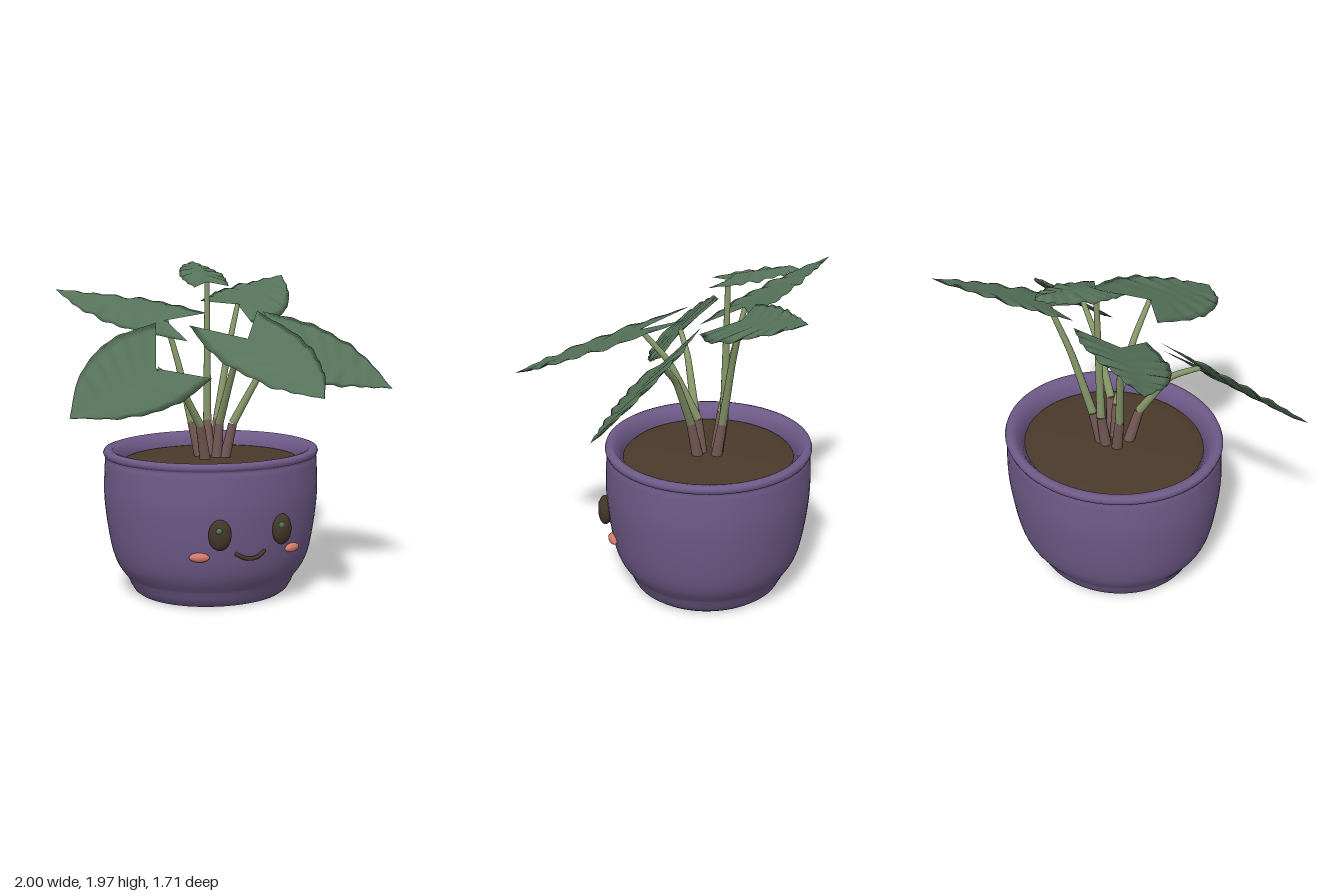
import * as THREE from 'three';

const paint = (name, color, side = THREE.FrontSide) => {
  const m = new THREE.MeshStandardMaterial({ color, side });
  m.name = name;
  return m;
};

// Tube through points whose rings shrink from r0 to r1
function taperedTube(points, r0, r1) {
  const n = 16, sides = 12;
  const curve = new THREE.CatmullRomCurve3(points, false, 'catmullrom', 0.25);
  const geo = new THREE.TubeGeometry(curve, n, r0, sides);
  const p = geo.attributes.position, v = new THREE.Vector3();
  for (let i = 0; i < p.count; i++) {
    const t = Math.floor(i / (sides + 1)) / n, c = curve.getPointAt(t);
    v.fromBufferAttribute(p, i).sub(c).multiplyScalar(1 + (r1 / r0 - 1) * t).add(c);
    p.setXYZ(i, v.x, v.y, v.z);
  }
  return geo;
}

// Point [x, z] placed on the leaf plane y = a + b x + c z
const onPlane = ([a, b, c], [x, z]) => new THREE.Vector3(x, a + b * x + c * z, z);

// Arrow-shaped leaf: closed lens-like cross-sections from the two lobes to the tip
function leafGeometry({ plane, notch, tip, edges, fold }, seed) {
  const rows = 48, half = 6, ring = half * 4;
  const normal = new THREE.Vector3(-plane[1], 1, -plane[2]).normalize();
  const start = onPlane(plane, notch), end = onPlane(plane, tip);
  const curves = edges.map((e) => new THREE.CatmullRomCurve3([...e, tip].map((q) => onPlane(plane, q))));
  const verts = [], index = [];
  for (let i = 0; i <= rows; i++) {
    const t = i / rows;
    const mid = start.clone().lerp(end, t);
    const rims = curves.map((curve, k) => {
      const ripple = Math.sin(t * 46 + seed * 2 + k) + 0.6 * Math.sin(t * 27 + seed + k * 2);
      return curve.getPoint(t).addScaledVector(normal, 0.007 * ripple * Math.sin(Math.PI * t));
    });
    const ends = Math.min(1, t * 8, (1 - t) * 8);
    for (let j = 0; j < ring; j++) {
      const top = j < half * 2;
      const u = top ? j / half - 1 : 3 - j / half;
      const w = Math.abs(u);
      const p = mid.clone().lerp(rims[u < 0 ? 0 : 1], w);
      const thick = 0.008 * Math.sqrt(1 - w * w) * (top ? 1 : -1);
      p.addScaledVector(normal, (thick + fold * (1 - w)) * ends);
      verts.push(p.x, p.y, p.z);
    }
  }
  for (let i = 0; i < rows; i++) for (let j = 0; j < ring; j++) {
    const p = i * ring + j, q = i * ring + (j + 1) % ring;
    index.push(p, p + ring, q, q, p + ring, q + ring);
  }
  const geo = new THREE.BufferGeometry();
  geo.setAttribute('position', new THREE.Float32BufferAttribute(verts, 3));
  geo.setIndex(index);
  geo.computeVertexNormals();
  return geo;
}

export function createModel() {
  const mat = {
    pot: paint('purple glaze', 0x6f5a88),
    soil: paint('soil brown', 0x4a3a2a, THREE.DoubleSide),
    leaf: paint('leaf green', 0x56735a, THREE.DoubleSide),
    stem: paint('stem green', 0x87986a),
    stemBase: paint('stem base brown', 0x785c58),
    face: paint('dark brown', 0x43372a),
    cheek: paint('cheek pink', 0xd27a6a),
    glint: paint('eye glint green', 0x4a7a62),
  };
  const model = new THREE.Group();
  model.name = 'pottedPlant';
  const add = (name, geo, material, pos = [0, 0, 0], scale = [1, 1, 1], rotY = 0) => {
    const mesh = new THREE.Mesh(geo, material);
    mesh.name = name;
    mesh.position.set(...pos);
    mesh.scale.set(...scale);
    mesh.rotation.y = rotY;
    model.add(mesh);
  };

  // Pot: one closed profile with drain hole, foot, belly, rolled rim and inner wall
  const cx = 0.022, cz = -0.24, squash = 0.92;
  const lathe = (points, sides) =>
    new THREE.LatheGeometry(points.map(([r, y]) => new THREE.Vector2(r, y)), sides);
  const belly = new THREE.SplineCurve([[0.515, 0.1], [0.582, 0.2], [0.622, 0.35], [0.652, 0.6], [0.645, 0.825]]
    .map(([r, y]) => new THREE.Vector2(r, y))).getPoints(20).map((p) => p.toArray());
  const foot = [[0.13, 0.12], [0.14, 0.07], [0.2, 0.033], [0.32, 0.015], [0.4, 0.002], [0.45, 0.004],
    [0.475, 0.022], [0.497, 0.06]];
  const rim = [[0.636, 0.836], [0.648, 0.842], [0.655, 0.86], [0.648, 0.878], [0.625, 0.885], [0.6, 0.88],
    [0.58, 0.855]];
  const inside = [[0.54, 0.8], [0.48, 0.25], [0.4, 0.13], [0.13, 0.12]];
  add('pot', lathe([...foot, ...belly, ...rim, ...inside], 72), mat.pot, [cx, 0, cz], [1, 1, squash]);

  // Soil with a very low mound
  add('soil', lathe([[0.55, 0.79], [0.53, 0.805], [0.45, 0.812], [0.25, 0.82], [0, 0.822]], 48),
    mat.soil, [cx, 0, cz], [1, 1, squash]);

  // Face
  const ball = new THREE.SphereGeometry(1, 32, 20);
  for (const s of [-1, 1]) {
    const side = s > 0 ? 'left' : 'right';
    add(side + 'Eye', ball, mat.face, [cx + s * 0.194, 0.48, 0.342], [0.066, 0.09, 0.04], s * 0.3);
    add(side + 'EyeGlint', ball, mat.glint, [cx + s * 0.194 - 0.018, 0.512, 0.373], [0.018, 0.018, 0.012]);
    add(side + 'Cheek', ball, mat.cheek, [cx + s * 0.293, 0.345, 0.275], [0.058, 0.027, 0.025], s * 0.45);
    add(side + 'MouthCorner', ball, mat.face, [cx + s * 0.085, 0.357, 0.33], [0.012, 0.012, 0.012]);
  }
  const smile = new THREE.QuadraticBezierCurve3(new THREE.Vector3(cx - 0.085, 0.357, 0.33),
    new THREE.Vector3(cx, 0.297, 0.366), new THREE.Vector3(cx + 0.085, 0.357, 0.33));
  add('mouth', new THREE.TubeGeometry(smile, 24, 0.012, 10), mat.face);

  // Shoots: leaf plane, then [x, z] of stem bend, notch, tip, and each edge from its lobe
  const shoots = [
    { name: 'front', plane: [1.613, 0.1, -0.39], bend: [0.05, -0.18], notch: [0.085, 0.15], tip: [0.21, 0.855],
      edges: [[[-0.18, -0.09], [-0.17, 0.3], [0.0, 0.68]], [[0.28, -0.145], [0.39, 0.27], [0.33, 0.62]]] },
    { name: 'frontRight', plane: [1.4, 0, -1], bend: [-0.09, -0.14], notch: [-0.42, 0], tip: [-1, 0.22],
      edges: [[[-0.325, -0.24], [-0.64, -0.155], [-0.87, 0.01]], [[-0.1, 0.065], [-0.35, 0.18], [-0.67, 0.235]]] },
    { name: 'frontLeft', plane: [1.46, 0, -0.937], bend: [0.125, -0.15], notch: [0.44, -0.03], tip: [0.995, 0.235],
      edges: [[[0.3, 0.07], [0.47, 0.175], [0.76, 0.215]], [[0.36, -0.24], [0.65, -0.155], [0.88, 0.01]]] },
    { name: 'backRight', plane: [1.468, 0.02, -0.42], bend: [-0.08, -0.3], notch: [-0.2, -0.41], tip: [-0.75, -0.85],
      edges: [[[0.09, -0.47], [-0.15, -0.64], [-0.48, -0.765]], [[-0.16, -0.155], [-0.48, -0.34], [-0.67, -0.59]]] },
    { name: 'backLeft', plane: [1.533, -0.015, -0.415], bend: [0.1, -0.33], notch: [0.29, -0.45], tip: [0.78, -0.84],
      edges: [[[0.28, -0.22], [0.53, -0.32], [0.71, -0.59]], [[0.06, -0.5], [0.25, -0.635], [0.54, -0.755]]] },
    { name: 'top', plane: [1.782, 0, -0.24], bend: [0.035, -0.33], notch: [0.04, -0.34], tip: [0.095, -0.74],
      edges: [[[0.14, -0.245], [0.195, -0.46], [0.16, -0.65]], [[-0.085, -0.235], [-0.09, -0.43], [0, -0.66]]] },
  ];
  const root = new THREE.Vector3(0.03, 0.78, -0.24);
  shoots.forEach((s, i) => {
    // Stems spread from the root, bend above the soil and arch to the leaf notch
    const bend = new THREE.Vector3(s.bend[0], 1.03, s.bend[1]);
    const base = root.clone().lerp(bend, 0.55).setY(root.y);
    const tipEnd = onPlane(s.plane, s.notch);
    const arch = bend.clone().lerp(tipEnd, 0.5);
    arch.y += 0.22 * Math.hypot(tipEnd.x - bend.x, tipEnd.z - bend.z);
    add(s.name + 'StemBase', taperedTube([base, bend], 0.034, 0.026), mat.stemBase);
    add(s.name + 'Stem', taperedTube([bend, arch, tipEnd], 0.025, 0.015), mat.stem);
    const fold = s.name === 'top' ? 0.02 : -0.008;
    add(s.name + 'Leaf', leafGeometry({ ...s, fold }, i), mat.leaf);
  });
  return model;
}
